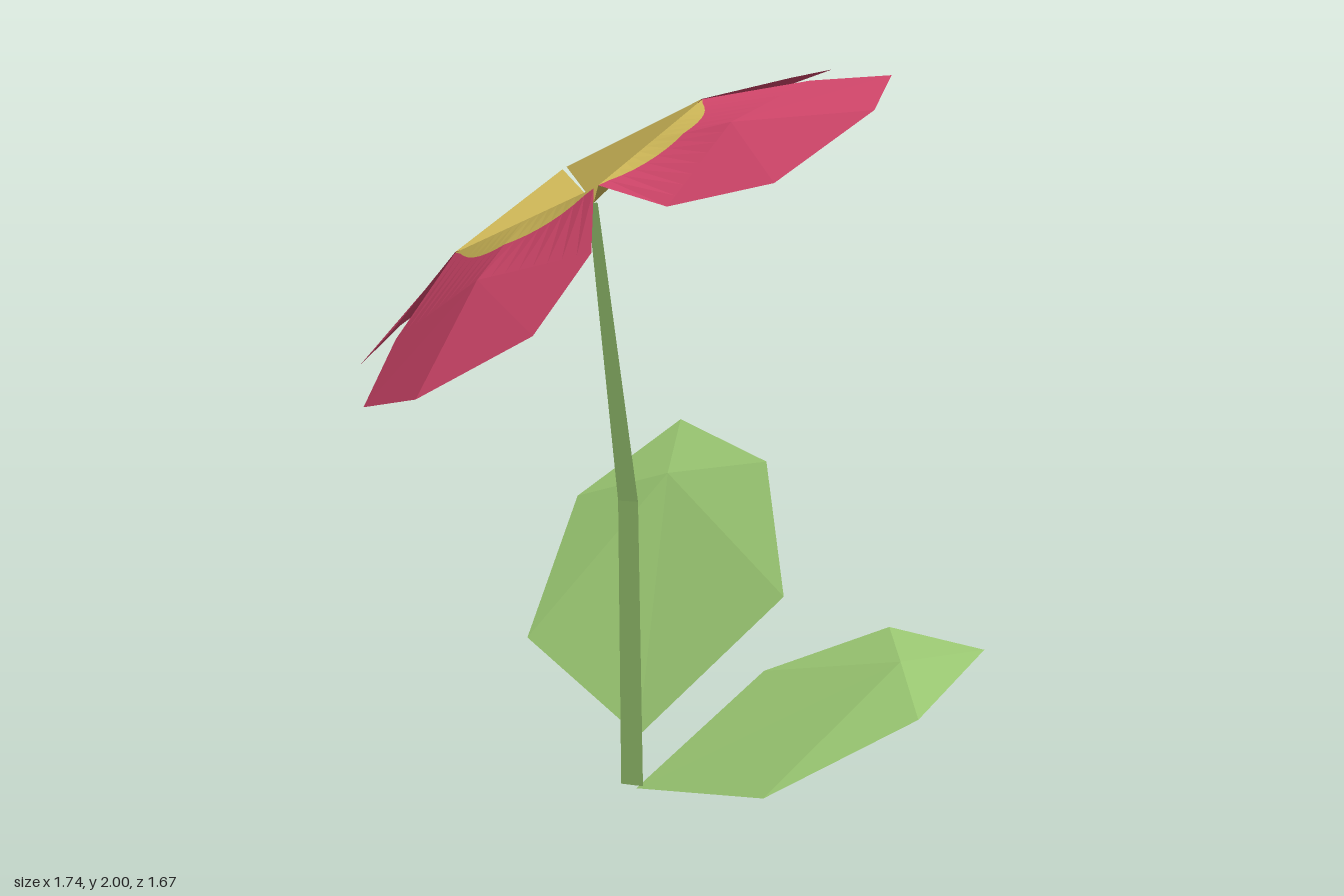
import * as THREE from 'three';

const V = (x, y, z) => new THREE.Vector3(x, y, z);
const mat = (name, color) =>
  new THREE.MeshStandardMaterial({ name, color, side: THREE.DoubleSide });

// Flat-shaded mesh from a list of corner points, three per triangle
function facets(name, points, material) {
  const geometry = new THREE.BufferGeometry().setFromPoints(points);
  geometry.computeVertexNormals();
  const mesh = new THREE.Mesh(geometry, material);
  mesh.name = name;
  return mesh;
}

// Triangles from a centre point to each edge of a rim
function fan(centre, rim) {
  const out = [];
  for (let i = 0; i + 1 < rim.length; i++) out.push(centre, rim[i], rim[i + 1]);
  return out;
}

// Triangles between two rows of equal length
function strip(a, b) {
  const out = [];
  for (let i = 0; i + 1 < a.length; i++) out.push(a[i], b[i], a[i + 1], a[i + 1], b[i], b[i + 1]);
  return out;
}

// Tilted flower disc: stem joint, disc middle, facing direction, yellow radius
const HEART = V(-0.03, 1.635, 0.035);
const DISC = V(-0.05, 1.706, 0.07);
const UP = V(-0.307, 0.85, 0.425).normalize();
const EYE_RADIUS = 0.384;

const axisDistance = (p) => {
  const d = p.clone().sub(DISC);
  return d.addScaledVector(UP, -d.dot(UP)).length();
};

// Point on segment a-b where it leaves the yellow circle
function eyeEdge(a, b) {
  let lo = 0, hi = 1;
  for (let i = 0; i < 20; i++) {
    const s = (lo + hi) / 2;
    if (axisDistance(a.clone().lerp(b, s)) < EYE_RADIUS) lo = s; else hi = s;
  }
  return a.clone().lerp(b, lo);
}

// Petal outline: inner corner, side, outer, tip, outer, side, inner corner
function petal(name, outline, pink, yellow) {
  const [in0, side0, out0, tip, out1, side1, in1] = outline.map((p) => V(...p));
  const a = in0.clone().lerp(in1, 0.017), b = in1.clone().lerp(in0, 0.017);
  const mid = side0.clone().add(side1).multiplyScalar(0.5).addScaledVector(UP, 0.055);
  const inner = [], arc = [], across = [];
  const steps = 16;
  for (let i = 0; i <= steps; i++) {
    const t = i / steps;
    inner.push(a.clone().lerp(b, t));
    across.push(t < 0.5 ? side0.clone().lerp(mid, t * 2) : mid.clone().lerp(side1, t * 2 - 1));
    arc.push(eyeEdge(inner[i], across[i]));
  }
  const group = new THREE.Group();
  group.name = name;
  group.add(
    facets('petalEye', [...fan(HEART, [a, b]), ...strip(inner, arc)], yellow),
    facets('petalBlade', [...strip(arc, across), ...fan(mid, [side0, out0, tip, out1, side1])], pink),
  );
  return group;
}

// Leaf: closed rim around a slightly raised middle
function leaf(name, middle, rim, material) {
  const pts = rim.map((p) => V(...p));
  return facets(name, fan(V(...middle), [...pts, pts[0]]), material);
}

export function createModel() {
  const pink = mat('petal pink', 0xdc4a70);
  const yellow = mat('flower yellow', 0xdcc45e);
  const green = mat('leaf green', 0xa5d57a);
  const model = new THREE.Group();
  model.name = 'flower';

  // Four petals sharing the corners of the tilted disc
  const A = [0.17, 1.916, -0.188], B = [0.26, 1.69, 0.323];
  const C = [-0.272, 1.5, 0.33], D = [-0.365, 1.72, -0.187];
  model.add(
    petal('leftPetal', [B, [0.54, 1.65, 0.367], [0.805, 1.71, 0.285], [0.868, 1.88, -0.015],
      [0.7, 1.97, -0.31], [0.42, 1.96, -0.328], A], pink, yellow),
    petal('backPetal', [A, [0.25, 1.972, -0.46], [0.18, 2.0, -0.73], [-0.15, 1.937, -0.838],
      [-0.44, 1.775, -0.72], [-0.47, 1.71, -0.45], D], pink, yellow),
    petal('rightPetal', [D, [-0.59, 1.6, -0.31], [-0.81, 1.42, -0.287], [-0.872, 1.245, 0.005],
      [-0.705, 1.16, 0.305], [-0.467, 1.285, 0.38], C], pink, yellow),
    petal('frontPetal', [C, [-0.297, 1.28, 0.515], [-0.18, 1.13, 0.725], [0.147, 1.19, 0.832],
      [0.433, 1.355, 0.715], [0.425, 1.54, 0.51], B], pink, yellow),
  );

  // Three-sided stem, bent and tapering upward
  const ring = (x, y, z, k) =>
    [[-0.022, 0.03], [0.038, 0.005], [-0.017, -0.035], [-0.022, 0.03]]
      .map(([dx, dz]) => V(x + dx * k, y, z + dz * k));
  const low = ring(0.077, 0.02, -0.015, 1);
  const bend = ring(0.051, 0.82, -0.024, 0.9);
  const top = ring(-0.03, 1.635, 0.035, 0.45);
  model.add(facets('stem',
    [...strip(bend, low), ...strip(top, bend), low[0], low[2], low[1]], green));

  // Two leaves rising from the foot of the stem
  model.add(
    leaf('tallLeaf', [-0.26, 0.8, -0.52], [[0.06, 0.145, -0.05], [0.31, 0.53, -0.38],
      [0.035, 0.855, -0.63], [-0.37, 0.935, -0.7], [-0.555, 0.705, -0.43], [-0.45, 0.33, -0.11]], green),
    leaf('lowLeaf', [0.64, 0.382, -0.485], [[0.08, 0.004, -0.02], [0.59, 0.105, 0.04],
      [0.845, 0.3, -0.285], [0.815, 0.42, -0.63], [0.45, 0.412, -0.69], [0.15, 0.265, -0.49]], green),
  );
  return model;
}
